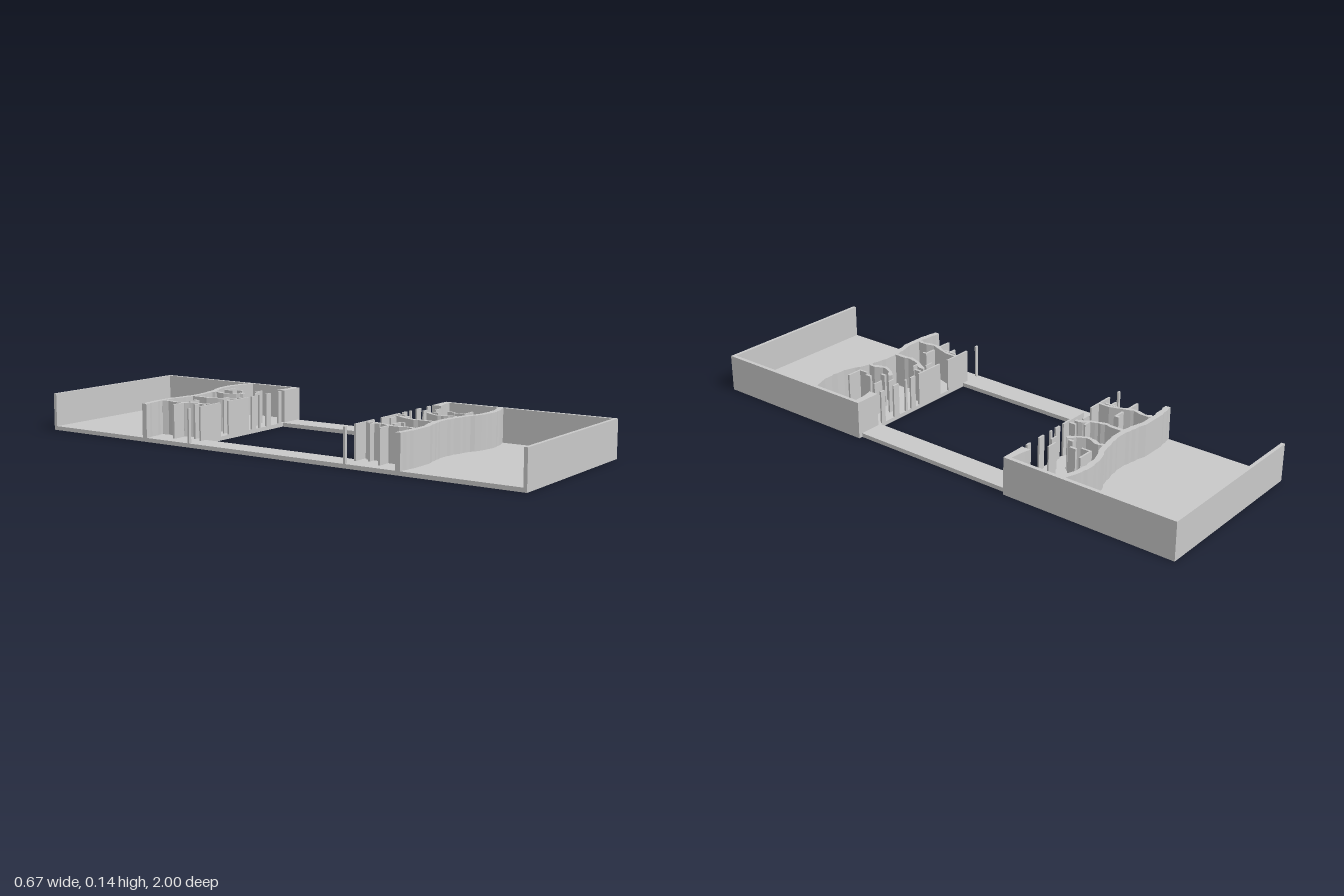
import * as THREE from 'three';

const FLOOR = 0.015, TOP = 0.14;
const grey = new THREE.MeshStandardMaterial({ color: 0xc8c8c8 });
grey.name = 'light grey plastic';

// Upright prism from a plan outline of [x, z] points
function prism(name, outline, y0, y1, holes = []) {
  const toV = ([x, z]) => new THREE.Vector2(x, -z);
  const shape = new THREE.Shape(outline.map(toV));
  holes.forEach((h) => shape.holes.push(new THREE.Path(h.map(toV))));
  const geo = new THREE.ExtrudeGeometry(shape, { depth: y1 - y0, bevelEnabled: false });
  geo.rotateX(-Math.PI / 2).translate(0, y0, 0);
  const mesh = new THREE.Mesh(geo, grey);
  mesh.name = name;
  return mesh;
}

function block(name, x0, x1, z0, z1, y0 = FLOOR, y1 = TOP) {
  const mesh = new THREE.Mesh(new THREE.BoxGeometry(x1 - x0, y1 - y0, Math.abs(z1 - z0)), grey);
  mesh.position.set((x0 + x1) / 2, (y0 + y1) / 2, (z0 + z1) / 2);
  mesh.name = name;
  return mesh;
}

// Wall following a plan curve, its sides snapped to a fine grid for a stepped, ribbed face
function curvedWall(name, points, thickness, steps) {
  const curve = new THREE.CatmullRomCurve3(points.map(([x, z]) => new THREE.Vector3(x, 0, z)));
  const snap = (v) => Math.round(v / 0.005) * 0.005;
  const a = [], b = [];
  for (let i = 0; i <= steps; i++) {
    const p = curve.getPointAt(i / steps), t = curve.getTangentAt(i / steps);
    const nx = -t.z * thickness / 2, nz = t.x * thickness / 2;
    a.push([snap(p.x + nx), snap(p.z + nz)]);
    b.unshift([snap(p.x - nx), snap(p.z - nz)]);
  }
  return prism(name, [...a, ...b], FLOOR, TOP);
}

// Plan curves, as distance from the middle along z
const wave = [[-0.335, 0.54], [-0.26, 0.548], [-0.18, 0.55], [-0.12, 0.538], [-0.05, 0.53],
  [0.03, 0.539], [0.09, 0.555], [0.15, 0.576], [0.21, 0.583], [0.26, 0.578], [0.325, 0.56]];
const dividers = [
  [[-0.235, 0.54], [-0.225, 0.52], [-0.235, 0.46], [-0.215, 0.41], [-0.205, 0.37], [-0.205, 0.335]],
  [[-0.08, 0.53], [-0.076, 0.5], [-0.08, 0.44], [-0.065, 0.4], [-0.045, 0.37], [-0.04, 0.35]],
  [[0.05, 0.54], [0.06, 0.52], [0.043, 0.47], [0.06, 0.43], [0.085, 0.405]],
];
// Thin panels along the window edge: x from, x to
const edgePanels = [[-0.335, -0.323], [-0.27, -0.155], [-0.11, 0.01], [0.03, 0.055],
  [0.075, 0.085], [0.12, 0.148], [0.195, 0.215]];
// Loose slivers: x from, x to, z from, z to
const slivers = [[-0.29, -0.235, 0.437, 0.445], [-0.2, -0.15, 0.435, 0.443], [-0.16, -0.15, 0.435, 0.455],
  [-0.25, -0.22, 0.372, 0.38], [-0.225, -0.216, 0.35, 0.4], [-0.1, -0.065, 0.36, 0.366],
  [-0.06, -0.03, 0.392, 0.399], [-0.02, -0.01, 0.345, 0.37], [0.115, 0.18, 0.523, 0.53],
  [0.115, 0.123, 0.49, 0.527], [0.13, 0.14, 0.455, 0.48], [0.09, 0.1, 0.42, 0.44],
  [0.14, 0.18, 0.395, 0.401], [0.1, 0.13, 0.37, 0.376]];

export function createModel() {
  const model = new THREE.Group();
  model.name = 'openTray';

  // Base plate with a window and a slightly recessed right edge
  model.add(prism('basePlate',
    [[-0.335, -1], [0.335, -1], [0.335, -0.33], [0.32, -0.33], [0.32, 0.33], [0.335, 0.33], [0.335, 1], [-0.335, 1]],
    0, FLOOR,
    [[[-0.243, -0.33], [-0.243, 0.33], [0.223, 0.33], [0.223, -0.33]]]));

  // Two mirrored compartments
  for (const s of [1, -1]) {
    const half = new THREE.Group();
    half.name = s > 0 ? 'frontCompartment' : 'backCompartment';
    const flip = (pts) => pts.map(([x, z]) => [x, z * s]);

    half.add(block('endWall', -0.335, 0.335, s * 0.987, s));
    half.add(block('sideWall', 0.32, 0.335, s * 0.33, s * 0.987));
    half.add(curvedWall('wavyWall', flip(wave), 0.021, 40));
    dividers.forEach((d) => half.add(curvedWall('divider', flip(d), 0.014, 14)));

    // Return beside the window
    half.add(prism('cornerReturn', flip([[0.235, 0.33], [0.32, 0.33], [0.32, 0.354],
      [0.29, 0.355], [0.26, 0.36], [0.235, 0.367]]), FLOOR, TOP));

    edgePanels.forEach(([a, b]) => half.add(block('edgePanel', a, b, s * 0.33, s * 0.337)));
    slivers.forEach(([a, b, c, d]) => half.add(block('sliver', a, b, s * c, s * d)));
    model.add(half);
  }
  return model;
}
